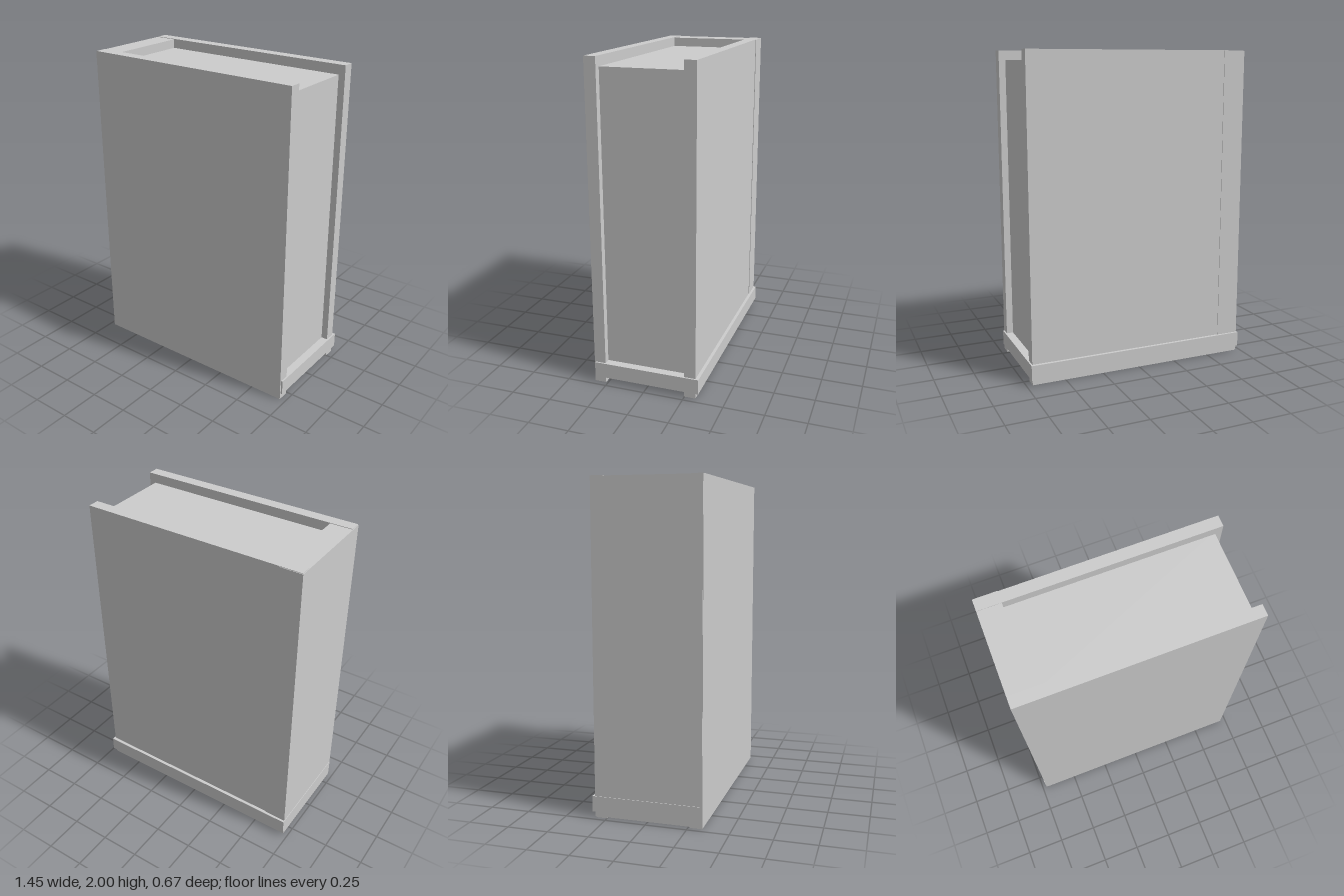
import * as THREE from 'three';

export function createModel() {
  const group = new THREE.Group();
  group.name = 'book';
  const grey = new THREE.MeshStandardMaterial({ color: 0xcccccc });
  grey.name = 'plain grey';

  // Box given by its lower and upper corners
  function block(name, [x0, y0, z0], [x1, y1, z1]) {
    const mesh = new THREE.Mesh(new THREE.BoxGeometry(x1 - x0, y1 - y0, z1 - z0), grey);
    mesh.position.set((x0 + x1) / 2, (y0 + y1) / 2, (z0 + z1) / 2);
    mesh.name = name;
    group.add(mesh);
  }

  // Two hard covers
  block('frontCover', [-0.717, 0, 0.263], [0.712, 2, 0.335]);
  block('backCover', [-0.717, 0, -0.319], [0.712, 2, -0.247]);

  // Spine, a hair lower than the covers and just proud of the back
  block('spine', [-0.721, 0.008, -0.323], [-0.578, 1.997, 0.333]);

  // Recessed page block
  block('pages', [-0.6, 0.06, -0.26], [0.67, 1.94, 0.28]);

  // Solid band around the foot, standing out at the sides and back
  block('band', [-0.725, 0.037, -0.339], [0.722, 0.132, 0.326]);

  return group;
}
